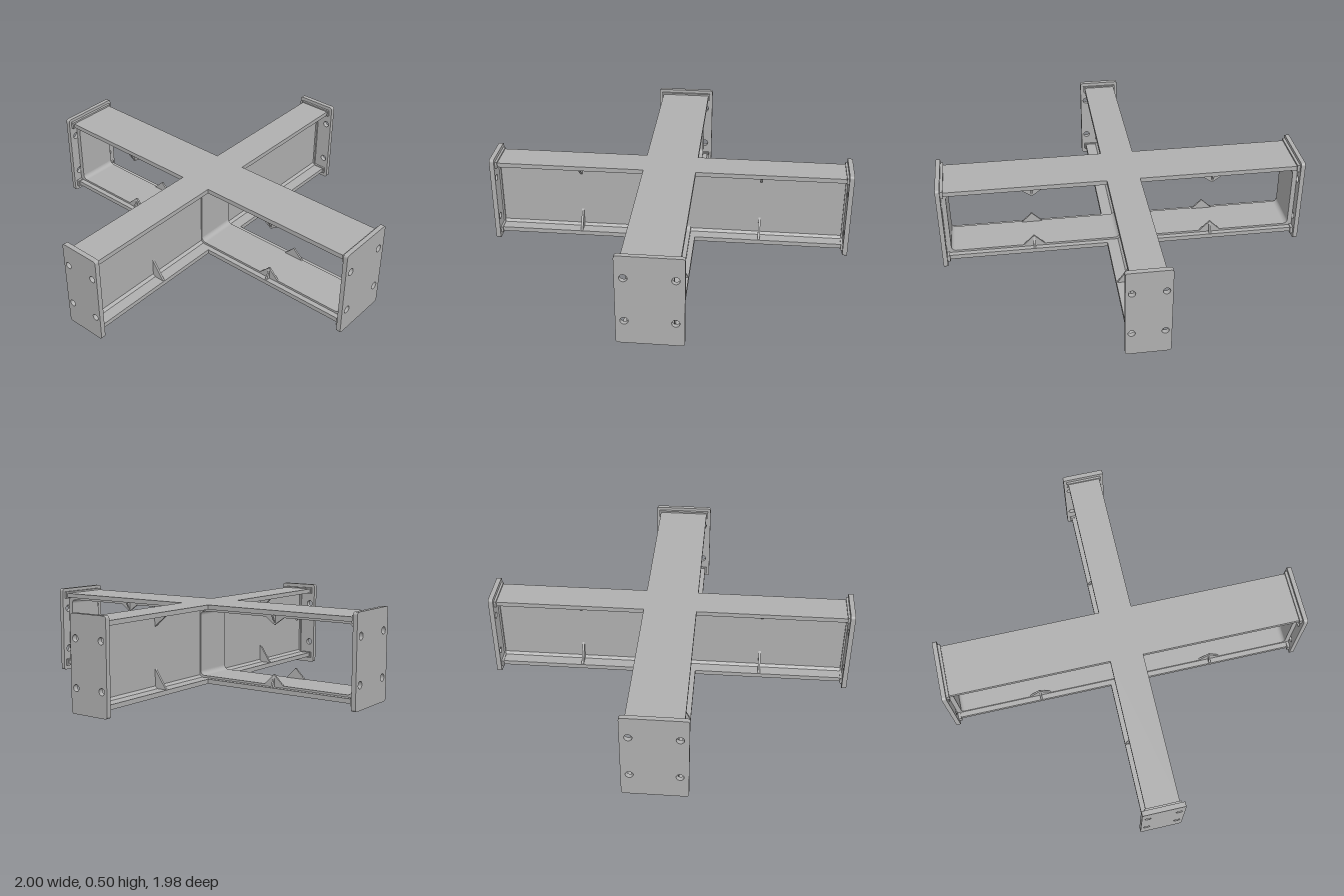
import * as THREE from 'three';

export function createModel() {
  const group = new THREE.Group();
  const steel = new THREE.MeshStandardMaterial({ color: 0xb0b0b0 });
  steel.name = 'steel grey';
  const MID = 0.25, BOTTOM = 0.06, TOP = 0.445;

  function add(name, geometry, parent = group) {
    const mesh = new THREE.Mesh(geometry, steel);
    mesh.name = name;
    parent.add(mesh);
    return mesh;
  }
  function box(name, x0, x1, y0, y1, z0, z1, parent) {
    const g = new THREE.BoxGeometry(x1 - x0, y1 - y0, z1 - z0);
    g.translate((x0 + x1) / 2, (y0 + y1) / 2, (z0 + z1) / 2);
    return add(name, g, parent);
  }
  function roundRect(path, x0, x1, y0, y1, r) {
    path.moveTo(x0 + r, y0).lineTo(x1 - r, y0);
    path.absarc(x1 - r, y0 + r, r, -Math.PI / 2, 0, false);
    path.lineTo(x1, y1 - r).absarc(x1 - r, y1 - r, r, 0, Math.PI / 2, false);
    path.lineTo(x0 + r, y1).absarc(x0 + r, y1 - r, r, Math.PI / 2, Math.PI, false);
    path.lineTo(x0, y0 + r).absarc(x0 + r, y0 + r, r, Math.PI, Math.PI * 1.5, false);
    return path;
  }
  // Extruded along z and centred on z = 0
  function extrude(shape, depth) {
    const g = new THREE.ExtrudeGeometry(shape, { depth, bevelEnabled: false, curveSegments: 8 });
    return g.translate(0, 0, -depth / 2);
  }
  function polygon(points) {
    return new THREE.Shape(points.map(([x, y]) => new THREE.Vector2(x, y)));
  }
  // Drilled end plate facing along z
  function endPlate(halfWidth, thickness, holeX, holeR) {
    const shape = roundRect(new THREE.Shape(), -halfWidth, halfWidth, 0.002, 0.497, 0.014);
    for (const x of [-holeX, holeX]) for (const y of [0.132, 0.376])
      shape.holes.push(new THREE.Path().absarc(x, y, holeR, 0, Math.PI * 2, true));
    return extrude(shape, thickness);
  }

  // Crossed flanges, each cut as one plus-shaped plate
  const a = 0.09, b = 0.143, X = 0.976, Z = 0.966;
  const cross = polygon([[-X, -b], [-a, -b], [-a, -Z], [a, -Z], [a, -b], [X, -b],
    [X, b], [a, b], [a, Z], [-a, Z], [-a, b], [-X, b]]);
  for (const [name, y] of [['bottomFlange', 0.049], ['topFlange', 0.457]]) {
    const flange = add(name, extrude(cross, 0.025).rotateX(-Math.PI / 2));
    flange.position.y = y;
  }

  // Solid web of the front-to-back beam
  box('solidWeb', -0.014, 0.014, BOTTOM, TOP, -Z, Z);

  for (const s of [1, -1]) {
    // Open side arm: a deep frame with a rounded opening
    const side = new THREE.Group();
    side.name = s > 0 ? 'leftArm' : 'rightArm';
    side.rotation.y = s > 0 ? 0 : Math.PI;
    group.add(side);
    const frame = polygon([[0.01, BOTTOM], [X, BOTTOM], [X, TOP], [0.01, TOP]]);
    frame.holes.push(roundRect(new THREE.Path(), 0.02, 0.95, 0.073, 0.43, 0.025));
    add('openFrame', extrude(frame, 0.23), side);

    // Pointed remnants of the web with their cross ribs
    for (const z of [-1, 1]) {
      const z0 = z * 0.11;
      add('lowerPeak', extrude(polygon([[0.435, 0.07], [0.555, 0.07], [0.495, 0.13]]), 0.01), side).position.z = z0;
      add('upperPeak', extrude(polygon([[0.435, 0.433], [0.495, 0.39], [0.555, 0.433]]), 0.01), side).position.z = z0;
      for (const [base, tip] of [[BOTTOM, 0.13], [TOP, 0.39]]) {
        const rib = extrude(polygon([[0.11, base], [0.14, base], [0.11, tip]]), 0.01);
        const mesh = add('crossRib', rib.rotateY(-Math.PI / 2), side);
        mesh.position.x = 0.495;
        if (z < 0) { mesh.rotation.y = Math.PI; }
      }
    }

    // Wide end plate and flange weld collars
    add('sideEndPlate', endPlate(0.168, 0.024, 0.124, 0.02).rotateY(Math.PI / 2), side).position.x = 0.987;
    for (const y of [0.047, 0.459])
      box('flangeWeld', 0.96, 0.977, y - 0.02, y + 0.02, -0.152, 0.152, side);

    // Solid arm: narrow end plate, gussets and weld seams
    const front = new THREE.Group();
    front.name = s > 0 ? 'frontArm' : 'backArm';
    front.rotation.y = s > 0 ? 0 : Math.PI;
    group.add(front);
    add('endPlate', endPlate(0.115, 0.026, 0.083, 0.018), front).position.z = 0.978;
    for (const y of [0.047, 0.459])
      box('flangeWeld', -0.098, 0.098, y - 0.018, y + 0.018, 0.953, 0.967, front);
    for (const x of [-1, 1]) {
      for (const [base, tip, seam] of [[BOTTOM, 0.168, 0.076], [TOP, 0.385, 0.429]]) {
        add('gusset', extrude(polygon([[0.012 * x, base], [0.085 * x, base], [0.012 * x, tip]]), 0.012), front)
          .position.z = 0.5;
        const weld = extrude(polygon([[0.012 * x, base], [0.03 * x, base], [0.012 * x, seam]]), 0.85);
        add('webWeld', weld, front).position.z = 0.54;
      }
      box('webEndWeld', Math.min(0.01 * x, 0.024 * x), Math.max(0.01 * x, 0.024 * x),
        BOTTOM, TOP, 0.956, 0.967, front);
    }
  }
  return group;
}
